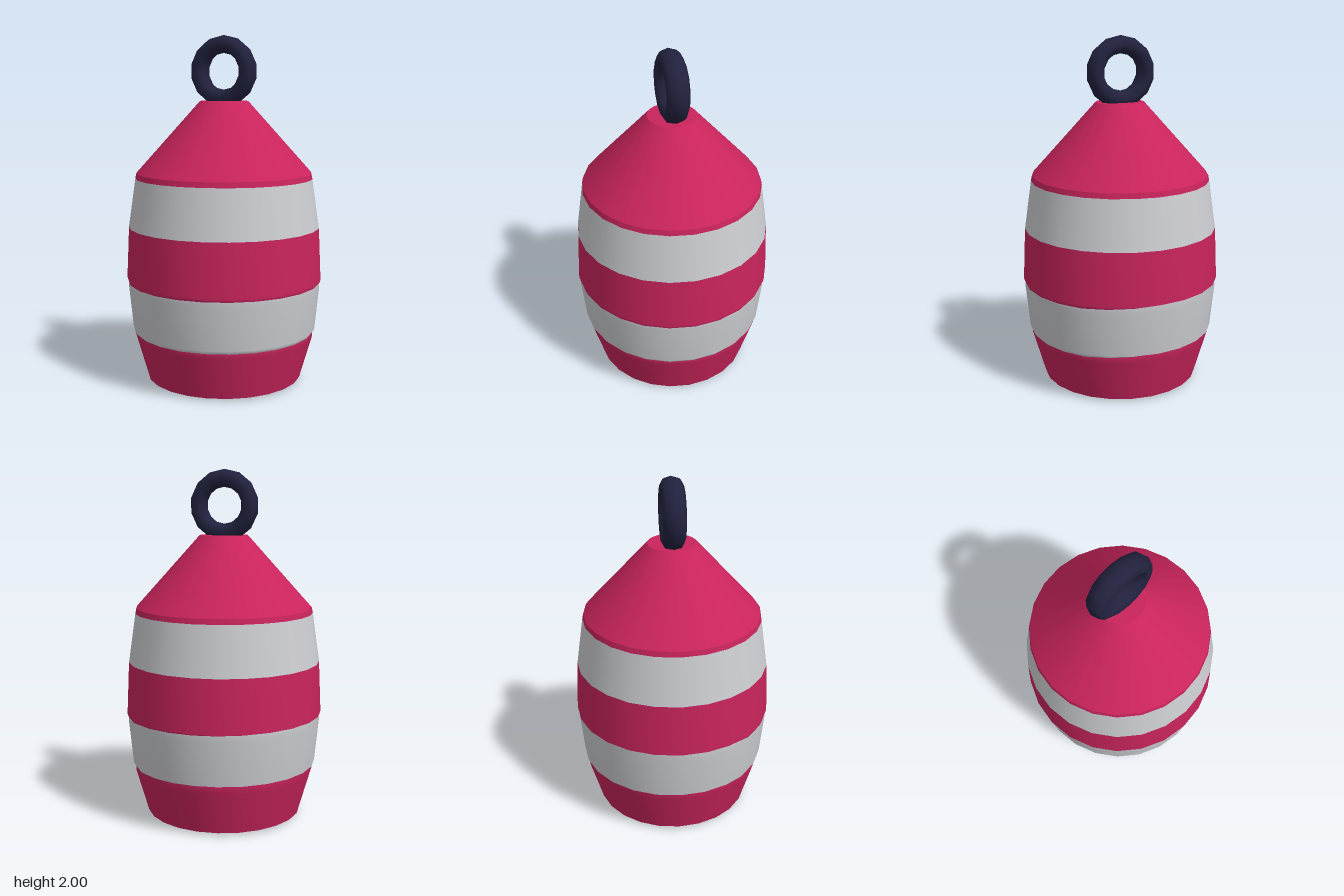
import * as THREE from 'three';

const red = new THREE.MeshStandardMaterial({ color: 0xc9245c });
red.name = 'red';
const white = new THREE.MeshStandardMaterial({ color: 0xcdced2 });
white.name = 'white';
const navy = new THREE.MeshStandardMaterial({ color: 0x22223f });
navy.name = 'navy';

const GROOVES = [0.295, 0.59];

// Turned section from [radius, y] pairs, listed from bottom to top
function band(name, material, profile) {
  const geo = new THREE.LatheGeometry(profile.map(([r, y]) => new THREE.Vector2(r, y)), 24);
  // Pinch the grooves in on the back right side, fading to nothing elsewhere
  const p = geo.attributes.position;
  for (let i = 0; i < p.count; i++) {
    if (!GROOVES.some((y) => Math.abs(p.getY(i) - y) < 0.001)) continue;
    const x = p.getX(i), z = p.getZ(i);
    const k = 1 - 0.1 * Math.max(0, -(x + z) / (Math.hypot(x, z) * Math.SQRT2));
    p.setX(i, x * k);
    p.setZ(i, z * k);
  }
  const mesh = new THREE.Mesh(geo, material);
  mesh.name = name;
  return mesh;
}

export function createModel() {
  const model = new THREE.Group();
  model.name = 'buoy';

  // Striped float body
  model.add(
    band('base', red, [[0, 0.005], [0.3, 0.005], [0.45, 0.02]]),
    band('lowerRedBand', red, [[0.45, 0.02], [0.522, 0.27], [0.522, 0.295]]),
    band('lowerWhiteBand', white, [[0.522, 0.295], [0.535, 0.315], [0.56, 0.57], [0.56, 0.59]]),
    band('middleRedBand', red, [[0.56, 0.59], [0.567, 0.61], [0.553, 0.91]]),
    band('upperWhiteBand', white, [[0.553, 0.91], [0.512, 1.19]]),
    band('shoulder', red, [[0.512, 1.19], [0.506, 1.22]]),
    band('cone', red, [[0.506, 1.22], [0.138, 1.63]]),
    band('coneCap', red, [[0.138, 1.63], [0, 1.63]]),
  );

  // Lifting ring, a little wider than it is thick
  const ringGeo = new THREE.TorusGeometry(0.153, 0.05, 8, 14);
  ringGeo.rotateZ(Math.PI / 2);
  ringGeo.scale(1, 1, 1.28);
  const ring = new THREE.Mesh(ringGeo, navy);
  ring.name = 'liftingRing';
  ring.position.set(-0.003, 1.797, 0);
  model.add(ring);

  return model;
}
